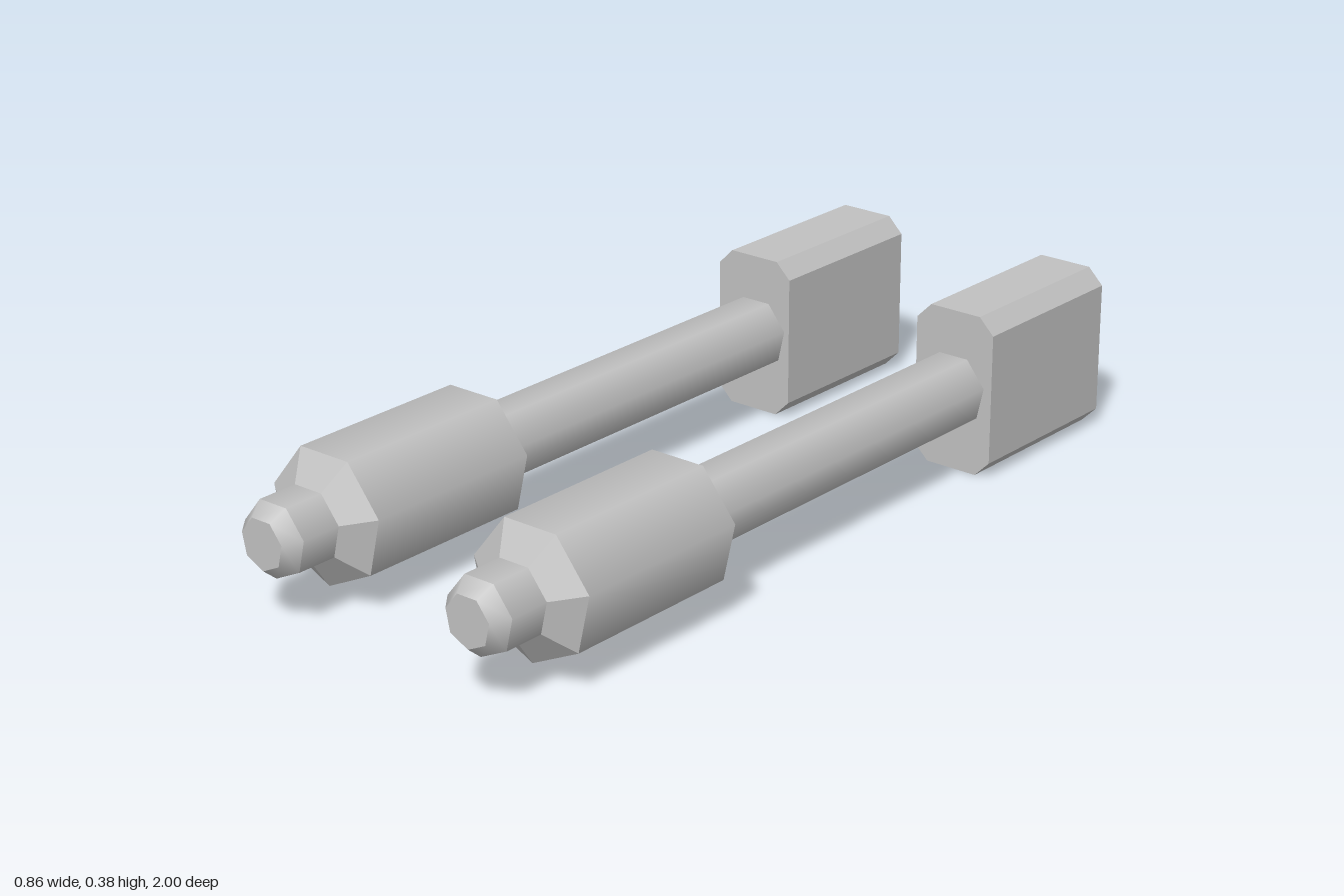
import * as THREE from 'three';

const AXIS_Y = 0.19;

export function createModel() {
  const metal = new THREE.MeshStandardMaterial({ color: 0xc0c0c0 });
  metal.name = 'grey metal';

  // Seven-sided section along z with a corner pointing down
  function section(name, zBack, zFront, rBack, rFront, { flat = false, open = false } = {}) {
    let geo = new THREE.CylinderGeometry(rFront, rBack, zFront - zBack, 7, 1, open);
    geo.rotateX(Math.PI / 2);
    geo.translate(0, AXIS_Y, (zFront + zBack) / 2);
    if (flat) {
      geo = geo.toNonIndexed();
      geo.computeVertexNormals();
    }
    const mesh = new THREE.Mesh(geo, metal);
    mesh.name = name;
    return mesh;
  }

  // Breech block: upright box with four chamfered long edges
  function breech(offset) {
    const w = 0.1025, h = 0.375, c = 0.037;
    const shape = new THREE.Shape([
      [-w + c, 0], [w - c, 0], [w, c], [w, h - c],
      [w - c, h], [-w + c, h], [-w, h - c], [-w, c],
    ].map(([x, y]) => new THREE.Vector2(x, y)));
    const geo = new THREE.ExtrudeGeometry(shape, { depth: 0.43, bevelEnabled: false });
    geo.translate(offset, 0, -1);
    const mesh = new THREE.Mesh(geo, metal);
    mesh.name = 'breechBlock';
    return mesh;
  }

  function cannon(name, x, breechOffset) {
    const g = new THREE.Group();
    g.name = name;
    g.position.x = x;
    g.add(
      section('barrel', -0.58, 0.965, 0.0863, 0.0863, { open: true }),
      section('muzzle', 0.965, 1, 0.0863, 0.058),
      section('sleeveRearChamfer', 0.33, 0.38, 0.0863, 0.154, { flat: true, open: true }),
      section('sleeve', 0.38, 0.82, 0.154, 0.154, { open: true }),
      section('sleeveFrontChamfer', 0.82, 0.868, 0.154, 0.0863, { flat: true, open: true }),
      breech(breechOffset),
    );
    return g;
  }

  const model = new THREE.Group();
  model.name = 'twinCannons';
  model.add(cannon('leftCannon', 0.28, 0.002), cannon('rightCannon', -0.28, -0.005));
  return model;
}
